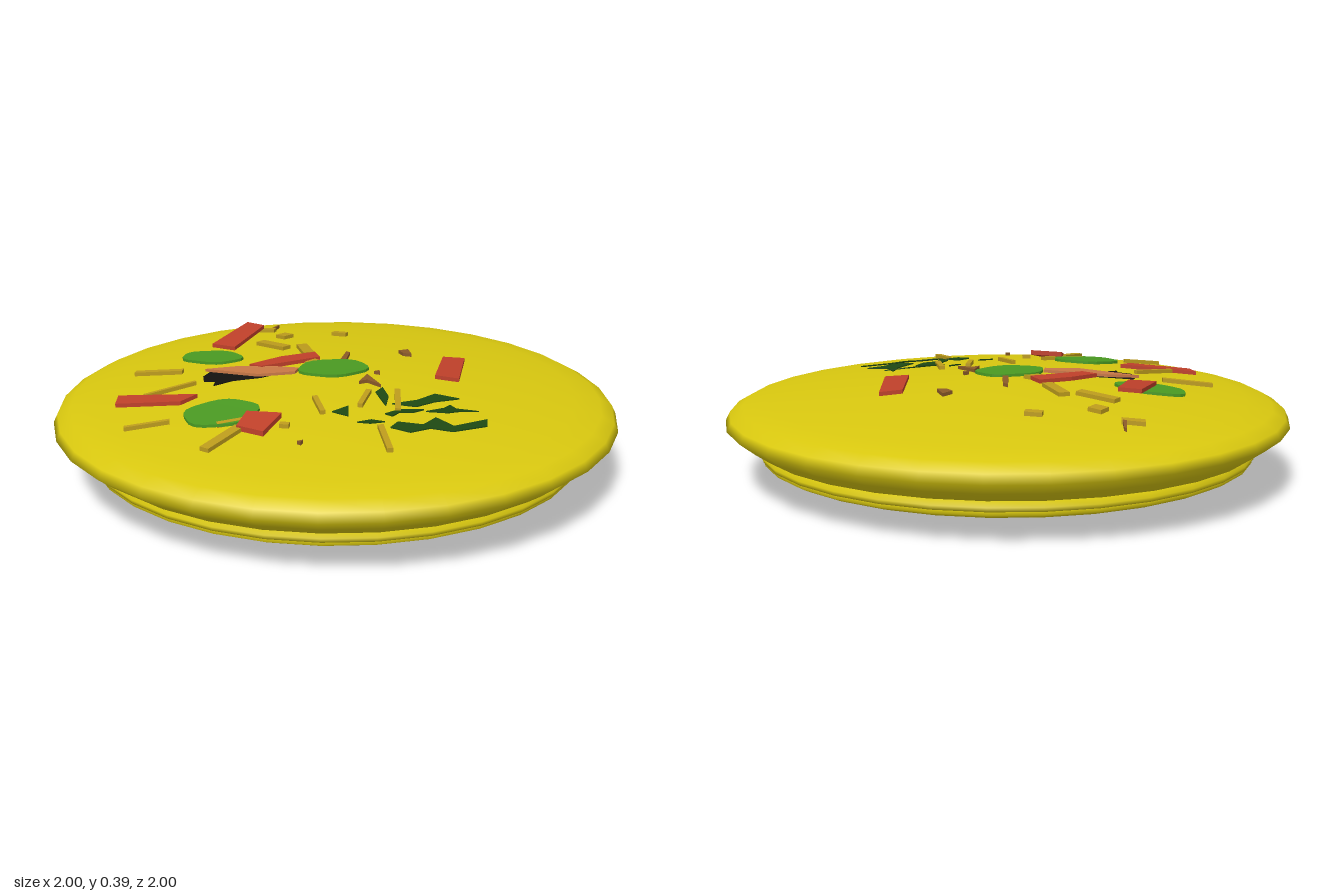
import * as THREE from 'three';

const material = (color) => new THREE.MeshStandardMaterial({ color, side: THREE.DoubleSide });
const flat = (color) => {
  const m = material(color);
  m.flatShading = true;
  return m;
};

// Upper crust, from the lower lip over the rim to the crown: [radius, height]
const crust = [[0.86, 0.13], [0.9, 0.14], [0.95, 0.175], [1, 0.215], [0.985, 0.245], [0.94, 0.27], [0.85, 0.287],
  [0.72, 0.305], [0.55, 0.322], [0.4, 0.334], [0.2, 0.348], [0, 0.354]];

// Height of the crust at a point, so toppings follow its slope
function crustHeight(x, z) {
  const r = Math.hypot(x, z);
  for (let i = crust.length - 1; i > 3; i--) {
    const [r0, y0] = crust[i], [r1, y1] = crust[i - 1];
    if (r <= r1) return y0 + (y1 - y0) * (r - r0) / (r1 - r0);
  }
  return 0.215;
}

export function createModel() {
  const model = new THREE.Group();
  const dough = material(0xd9c80f);
  const red = flat(0xbf402a), green = flat(0x4a9a22), leafGreen = flat(0x1d4712);
  const straw = flat(0xbd9c1c), brown = flat(0x8a5a28), orange = flat(0xc87846), black = flat(0x14120f);

  // Round layers
  const layer = (name, profile) => {
    const points = profile.map(([r, y]) => new THREE.Vector2(r, y));
    const mesh = new THREE.Mesh(new THREE.LatheGeometry(points, 32), dough);
    mesh.name = name;
    model.add(mesh);
  };
  layer('topCrust', crust);
  layer('middleLayer', [[0.84, 0.095], [0.88, 0.1], [0.885, 0.115], [0.87, 0.135], [0.8, 0.14]]);
  layer('lowerLayer', [[0.8, 0.066], [0.85, 0.075], [0.875, 0.088], [0.86, 0.1], [0.8, 0.105]]);
  layer('base', [[0, 0.022], [0.3, 0.026], [0.55, 0.036], [0.74, 0.05], [0.83, 0.068], [0.85, 0.08], [0.8, 0.09]]);
  layer('bottomBulge', [[0, 0], [0.12, 0.003], [0.22, 0.012], [0.31, 0.027]]);

  // A thin slab with an [x, z] outline, draped on the crust; tiltX and tiltZ tip it about its centre
  function slab(name, outline, mat, lift = 0.004, thickness = 0.014, tiltX = 0, tiltZ = 0) {
    const shape = new THREE.Shape(outline.map(([x, z]) => new THREE.Vector2(x, -z)));
    const geometry = new THREE.ExtrudeGeometry(shape, { depth: thickness, bevelEnabled: false });
    geometry.rotateX(-Math.PI / 2);
    const cx = outline.reduce((s, p) => s + p[0], 0) / outline.length;
    const cz = outline.reduce((s, p) => s + p[1], 0) / outline.length;
    const pos = geometry.attributes.position;
    for (let i = 0; i < pos.count; i++) {
      const x = pos.getX(i), z = pos.getZ(i);
      pos.setY(i, pos.getY(i) + crustHeight(x, z) + lift + tiltX * (x - cx) + tiltZ * (z - cz));
    }
    geometry.computeVertexNormals();
    const mesh = new THREE.Mesh(geometry, mat);
    mesh.name = name;
    model.add(mesh);
  }

  // Red pepper strips
  slab('pepperStrip', [[-0.27, -0.565], [-0.21, -0.51], [-0.34, -0.3], [-0.42, -0.355]], red, 0.044, 0.014, 0, -0.13);
  slab('pepperStrip', [[-0.3, -0.11], [-0.18, -0.17], [-0.05, -0.2], [-0.04, -0.13], [-0.26, -0.07]], red, 0.008);
  slab('pepperStrip', [[-0.77, 0.04], [-0.5, 0.14], [-0.56, 0.19], [-0.78, 0.12]], red, 0.004);
  slab('pepperStrip', [[0.42, -0.13], [0.5, -0.12], [0.42, 0.13], [0.34, 0.1]], red, 0.006);
  slab('pepperChunk', [[-0.35, 0.38], [-0.24, 0.43], [-0.31, 0.525], [-0.39, 0.46]], red, 0.012, 0.018, 0.08, -0.1);

  // Round green slices with slightly uneven rims
  for (const [x, z, rx, rz, turn, lift] of [
    [-0.425, -0.3, 0.125, 0.075, 0.65, 0.004], [-0.01, 0, 0.125, 0.09, 0, 0.012], [-0.43, 0.32, 0.125, 0.105, 0, 0.006]]) {
    const rim = [];
    for (let i = 0; i < 24; i++) {
      const a = i * Math.PI / 12, k = 1 + 0.04 * Math.sin(5 * a + x * 9);
      const u = rx * k * Math.cos(a), v = rz * k * Math.sin(a);
      rim.push([x + u * Math.cos(turn) - v * Math.sin(turn), z + u * Math.sin(turn) + v * Math.cos(turn)]);
    }
    slab('greenSlice', rim, green, lift, 0.01);
  }

  // Dark torn leaves
  const leaves = [
    [[0.1, 0.53], [0.13, 0.5], [0.21, 0.52], [0.26, 0.48], [0.31, 0.53], [0.43, 0.49], [0.42, 0.53], [0.3, 0.56], [0.23, 0.54], [0.16, 0.56]],
    [[0.24, 0.42], [0.31, 0.38], [0.34, 0.34], [0.35, 0.39], [0.42, 0.42], [0.36, 0.42], [0.31, 0.44]],
    [[0.14, 0.34], [0.23, 0.32], [0.3, 0.28], [0.38, 0.31], [0.29, 0.33], [0.22, 0.36]],
    [[0.1, 0.43], [0.16, 0.38], [0.24, 0.39], [0.2, 0.42], [0.15, 0.42], [0.12, 0.46]],
    [[0.1, 0.25], [0.13, 0.22], [0.14, 0.28], [0.12, 0.34]],
    [[0, 0.48], [0.05, 0.46], [0.09, 0.49], [0.04, 0.5]],
    [[-0.07, 0.39], [-0.01, 0.36], [-0.02, 0.42]],
  ];
  leaves.forEach((outline, i) => slab('leaf', outline, leafGreen, 0.008, 0.004, 0, i % 2 ? 0.15 : -0.15));

  // Folded slice with its charred edge
  slab('charredPiece', [[-0.47, -0.07], [-0.44, -0.12], [-0.34, -0.09], [-0.15, -0.04], [-0.27, 0.01], [-0.37, 0.01],
    [-0.44, 0.04], [-0.43, 0], [-0.47, -0.02]], black, 0.003, 0.004);
  slab('foldedSlice', [[-0.46, -0.12], [-0.34, -0.11], [-0.23, -0.07], [-0.13, -0.02], [-0.15, 0.02], [-0.28, 0.01]], orange, 0.009, 0.01);

  // Straw-coloured shreds: start, end, width
  const shreds = [
    [-0.71, -0.21, -0.54, -0.15, 0.025], [-0.75, 0.335, -0.6, 0.335, 0.015], [-0.5, 0.58, -0.38, 0.45, 0.035],
    [-0.45, 0.41, -0.27, 0.38, 0.02], [-0.68, 0.07, -0.5, 0, 0.014], [-0.23, -0.46, -0.14, -0.34, 0.04],
    [-0.08, -0.36, -0.07, -0.22, 0.04], [-0.22, -0.71, -0.15, -0.68, 0.03], [-0.14, -0.57, -0.11, -0.53, 0.05],
    [0.07, -0.56, 0.12, -0.53, 0.03], [-0.11, 0.26, -0.1, 0.39, 0.018], [0.18, 0.23, 0.15, 0.4, 0.02],
    [0.07, 0.52, 0.07, 0.69, 0.02], [0.03, 0.35, 0.08, 0.23, 0.018], [-0.08, -0.11, -0.05, -0.07, 0.05],
    [-0.25, 0.46, -0.22, 0.47, 0.02],
  ];
  for (const [x0, z0, x1, z1, w] of shreds) {
    const length = Math.hypot(x1 - x0, z1 - z0);
    const nx = -(z1 - z0) / length * w / 2, nz = (x1 - x0) / length * w / 2;
    slab('shred', [[x0 + nx, z0 + nz], [x1 + nx, z1 + nz], [x1 - nx, z1 - nz], [x0 - nx, z0 - nz]], straw, 0.003, 0.014);
  }

  // Small brown crumbs and splinters
  const crumbs = [
    [[0.07, -0.21], [0.08, -0.19], [0.04, -0.06], [0.02, -0.07]],
    [[0.27, -0.22], [0.31, -0.24], [0.31, -0.17], [0.28, -0.18]],
    [[0.06, 0.15], [0.1, 0.08], [0.13, 0.19], [0.09, 0.14]],
    [[0.13, 0.05], [0.15, 0.04], [0.15, 0.06]],
    [[-0.16, -0.7], [-0.13, -0.77], [-0.125, -0.76], [-0.15, -0.69]],
    [[-0.21, 0.6], [-0.19, 0.595], [-0.2, 0.61]],
  ];
  for (const outline of crumbs) slab('crumb', outline, brown, 0.005, 0.012);

  return model;
}
